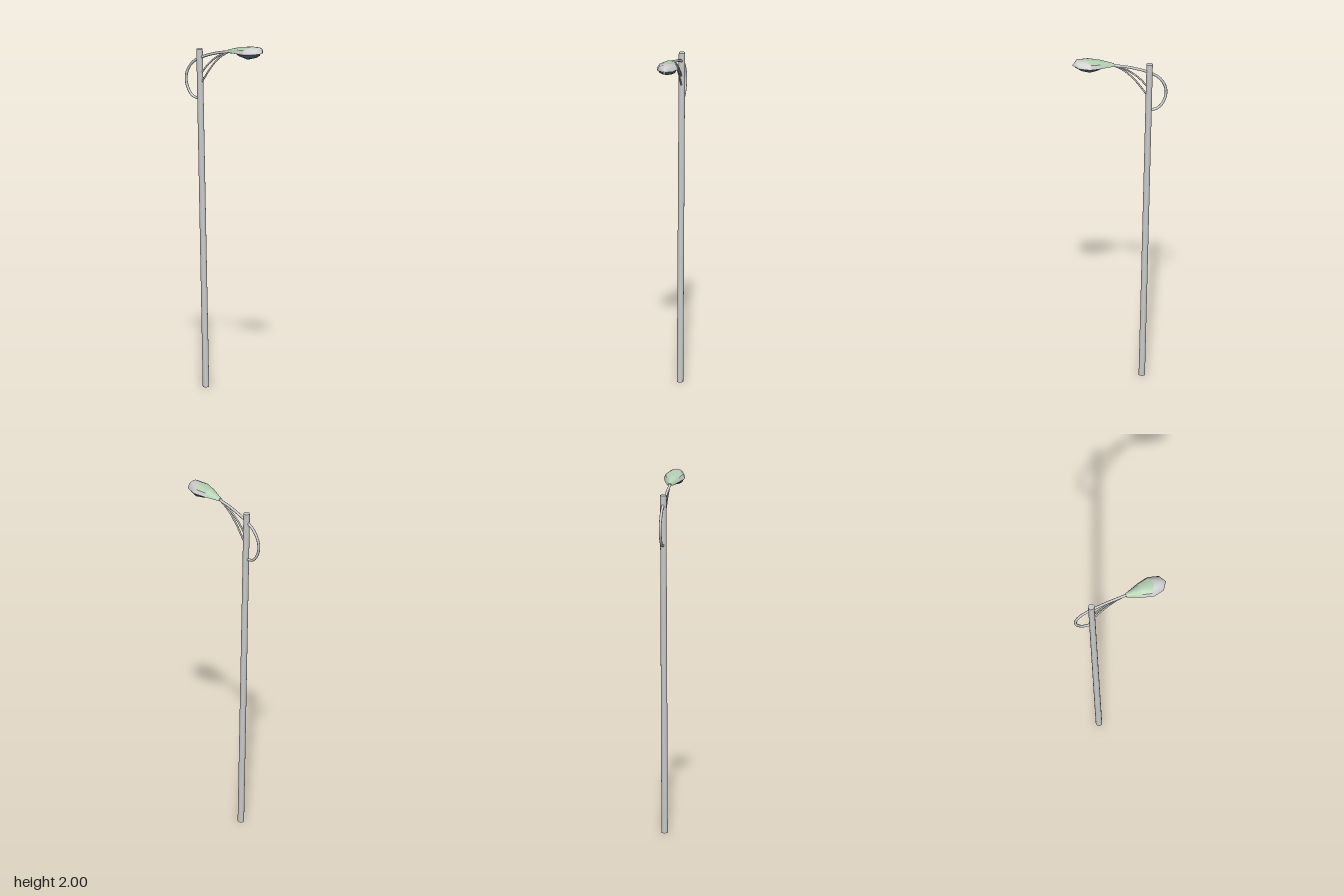
import * as THREE from 'three';

const V = (x, y, z) => new THREE.Vector3(x, y, z);
const paint = (color) => new THREE.MeshStandardMaterial({ color });

// Surface through rows of points; rows run along +z, columns along +x for an upward face
function skin(rows, flip = false) {
  const n = rows[0].length;
  const index = [];
  for (let i = 0; i < rows.length - 1; i++) {
    for (let j = 0; j < n - 1; j++) {
      const a = i * n + j, b = a + 1, c = a + n, d = c + 1;
      if (flip) index.push(a, b, c, b, d, c);
      else index.push(a, c, b, b, c, d);
    }
  }
  const g = new THREE.BufferGeometry().setFromPoints(rows.flat());
  g.setIndex(index);
  g.computeVertexNormals();
  return g;
}

export function createModel() {
  const model = new THREE.Group();
  model.name = 'streetLamp';
  const grey = paint(0xcccccc), green = paint(0xb4d0b4), blue = paint(0x5f7180);
  const add = (name, geometry, material, parent = model) => {
    const mesh = new THREE.Mesh(geometry, material);
    mesh.name = name;
    parent.add(mesh);
    return mesh;
  };

  // Slightly leaning pole
  const foot = V(0, 0, -0.126), tip = V(0, 1.934, -0.171);
  const axis = tip.clone().sub(foot);
  const pole = add('pole', new THREE.CylinderGeometry(0.018, 0.018, axis.length(), 16), grey);
  pole.position.copy(foot).add(tip).multiplyScalar(0.5);
  pole.quaternion.setFromUnitVectors(V(0, 1, 0), axis.normalize());

  // Arm that passes the pole and loops back into it, and two curved struts; points are [z, y]
  const tube = (name, pts, r) => {
    const curve = new THREE.CatmullRomCurve3(pts.map(([z, y]) => V(0, y, z)));
    add(name, new THREE.TubeGeometry(curve, 40, r, 8), grey);
  };
  tube('arm', [[0.045, 1.95], [-0.06, 1.925], [-0.165, 1.885], [-0.225, 1.845], [-0.26, 1.785],
    [-0.262, 1.73], [-0.24, 1.68], [-0.215, 1.657], [-0.175, 1.648]], 0.0078);
  tube('upperStrut', [[0.03, 1.947], [-0.04, 1.912], [-0.105, 1.86], [-0.16, 1.795]], 0.005);
  tube('lowerStrut', [[0.03, 1.945], [-0.03, 1.905], [-0.09, 1.84], [-0.152, 1.75]], 0.005);

  // Lamp head stations: z, half width, rim height, crown height
  const head = new THREE.Group();
  head.name = 'lampHead';
  model.add(head);
  const stations = [
    [0.033, 0.012, 1.945, 1.96],
    [0.115, 0.044, 1.954, 1.986],
    [0.178, 0.061, 1.96, 1.996],
    [0.24, 0.045, 1.966, 2.0],
    [0.268, 0, 1.968, 1.974],
  ];
  const across = [-1, -0.78, -0.4, 0, 0.4, 0.78, 1];
  const shell = stations.map(([z, w, rim, crown], i) => across.map((f) => {
    // the third station bends forward into the V that ends the cover
    const zz = i === 2 && Math.abs(f) < 0.9 ? 0.2 - 0.036 * Math.abs(f) : z;
    return V(f * w, rim + (crown - rim) * Math.sqrt(1 - f * f), zz);
  }));
  add('rearCover', skin(shell.slice(0, 2)), green, head);
  add('topCover', skin(shell.slice(1, 3).map((r) => r.slice(1, 6))), green, head);
  add('rightSide', skin(shell.slice(1, 3).map((r) => r.slice(0, 2))), grey, head);
  add('leftSide', skin(shell.slice(1, 3).map((r) => r.slice(5))), grey, head);
  add('nose', skin(shell.slice(2)), grey, head);

  // Underside and the end of the neck
  const under = stations.map(([z, w, rim], i) => [-1, -0.5, 0, 0.5, 1].map((f) =>
    V(f * w, rim - (i === 4 ? 0 : 0.006) * (1 - f * f), z)));
  add('neckUnderside', skin(under.slice(0, 2), true), green, head);
  add('underside', skin(under.slice(1), true), grey, head);
  const neck = add('neckCap', new THREE.CylinderGeometry(0.01, 0.01, 0.006, 12), grey, head);
  neck.rotation.x = Math.PI / 2;
  neck.position.set(0, 1.95, 0.035);

  // Glass bowl: z, half width, rim height, lowest height
  const bowl = [
    [0.095, 0.026, 1.952, 1.947],
    [0.13, 0.043, 1.955, 1.933],
    [0.178, 0.055, 1.959, 1.924],
    [0.222, 0.045, 1.963, 1.938],
    [0.254, 0.006, 1.965, 1.957],
  ].map(([z, w, rim, low]) => across.map((f) =>
    V(f * w, rim - (rim - low) * Math.sqrt(1 - f * f), z)));
  add('glassBowl', skin(bowl, true), blue, head);

  return model;
}
